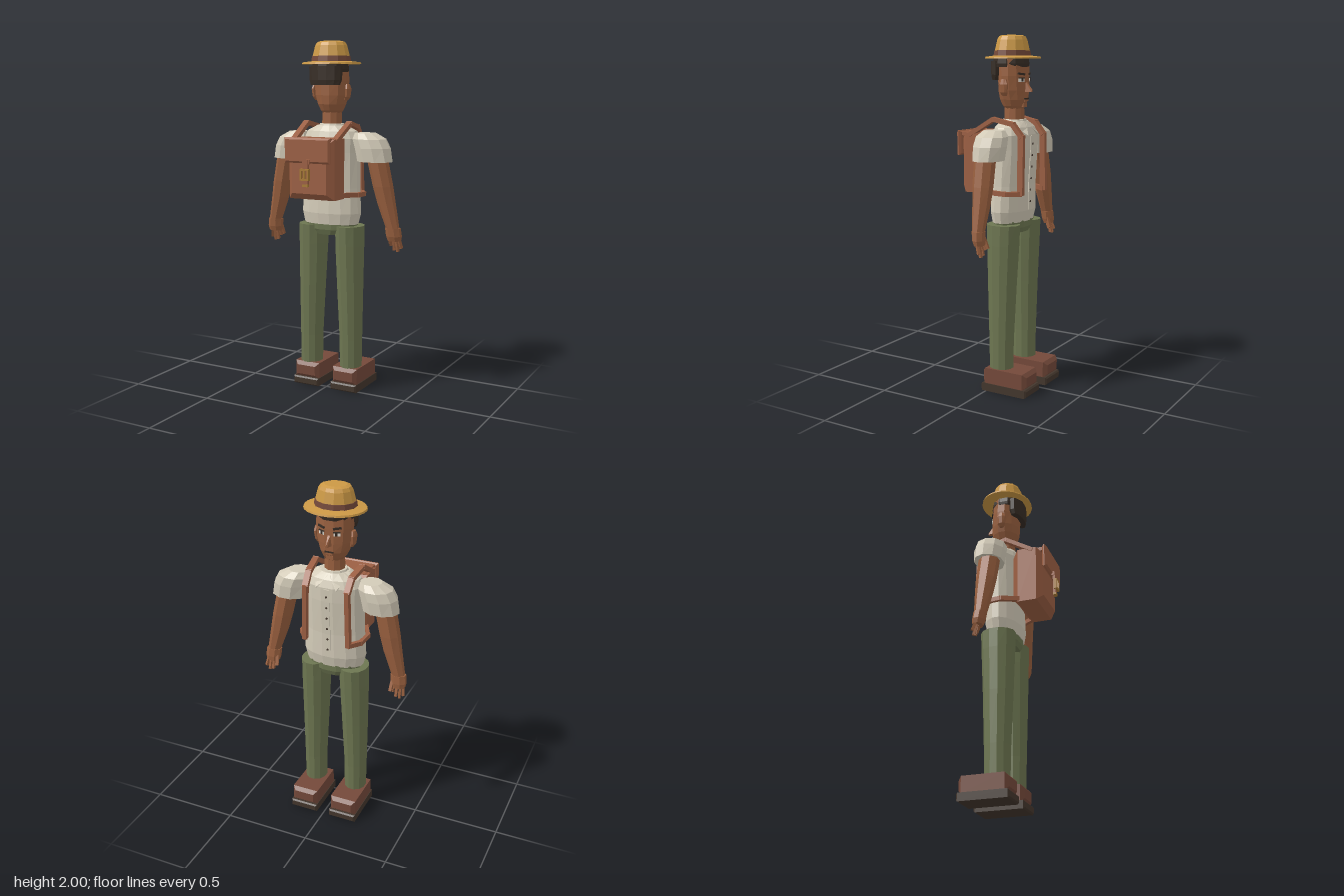
import * as THREE from 'three';
import { ConvexGeometry } from 'three/addons/geometries/ConvexGeometry.js';

const mat = (name, color) => Object.assign(new THREE.MeshStandardMaterial({ color }), { name });
const M = {
  skin: mat('skin', 0x99603f), leather: mat('leather', 0x9c5f43), shoe: mat('shoeLeather', 0x74493a),
  sole: mat('soleRubber', 0x43362c), shirt: mat('shirtCloth', 0xd3cbb8), pants: mat('trouserCloth', 0x6d7651),
  hair: mat('darkHair', 0x372d25), straw: mat('straw', 0xcb9845), brass: mat('brass', 0xa87b35), white: mat('eyeWhite', 0xe8e4da),
};

export function createModel() {
  const model = new THREE.Group();

  // Faceted mesh with one normal per face
  const add = (name, geo, material, parent = model) => {
    const g = geo.index ? geo.toNonIndexed() : geo;
    g.computeVertexNormals();
    const mesh = new THREE.Mesh(g, material);
    mesh.name = name;
    parent.add(mesh);
    return mesh;
  };

  // Stack of elliptical rings [y, cx, cz, rx, rz], capped at both ends
  const loft = (name, material, n, rings) => {
    const pos = [], idx = [], k = 1 / Math.cos(Math.PI / n);
    for (const [y, cx, cz, rx, rz] of rings)
      for (let j = 0; j < n; j++) {
        const a = (j + 0.5) * 2 * Math.PI / n;
        pos.push(cx + rx * k * Math.sin(a), y, cz + rz * k * Math.cos(a));
      }
    const last = (rings.length - 1) * n;
    for (let j = 0; j < n; j++) {
      const m = (j + 1) % n;
      for (let o = 0; o < last; o += n) idx.push(o + j, o + m, o + n + m, o + j, o + n + m, o + n + j);
      if (j > 0 && j < n - 1) idx.push(0, m, j, last, last + j, last + m);
    }
    const g = new THREE.BufferGeometry();
    g.setAttribute('position', new THREE.Float32BufferAttribute(pos, 3));
    g.setIndex(idx);
    return add(name, g, material);
  };

  const box = (name, material, w, h, d, x, y, z, ry = 0, rz = 0) => {
    const m = add(name, new THREE.BoxGeometry(w, h, d), material);
    m.position.set(x, y, z);
    m.rotation.set(0, ry, rz);
    return m;
  };

  // Box with bevelled edges
  const chamferBox = (name, material, w, h, d, b, x, y, z) => {
    const p = w / 2 - b, q = h / 2 - b;
    const s = new THREE.Shape([[-p, -q], [p, -q], [p, q], [-p, q]].map(v => new THREE.Vector2(...v)));
    const g = new THREE.ExtrudeGeometry(s, { depth: d - 2 * b, bevelSize: b, bevelThickness: b, bevelSegments: 1 });
    g.translate(x, y, z - d / 2 + b);
    return add(name, g, material);
  };

  // Flat bars joining a row of points
  const bars = (name, material, w, t, points) => {
    const group = new THREE.Group();
    group.name = name;
    model.add(group);
    for (let i = 1; i < points.length; i++) {
      const a = new THREE.Vector3(...points[i - 1]), b = new THREE.Vector3(...points[i]);
      const m = add(name + 'Segment', new THREE.BoxGeometry(w, t, a.distanceTo(b) + t * 0.6), material, group);
      m.position.copy(a).add(b).multiplyScalar(0.5);
      m.lookAt(b);
    }
  };
  const hull = (name, material, pts) => add(name, new ConvexGeometry(pts.map(p => new THREE.Vector3(...p))), material);

  // Hat
  loft('hatBrim', M.straw, 24, [[1.872, 0, -.058, .171, .148], [1.882, 0, -.058, .168, .145], [1.889, 0, -.056, .11, .096]]);
  loft('hatBand', M.shoe, 12, [[1.884, 0, -.053, .114, .098], [1.917, 0, -.053, .109, .094]]);
  loft('hatCrown', M.straw, 12, [[1.915, 0, -.053, .106, .091], [1.975, 0, -.053, .091, .078], [1.993, 0, -.053, .08, .069], [2, 0, -.053, .06, .051]]);

  // Head, hair and neck
  loft('head', M.skin, 12, [[1.598, 0, -.068, .05, .05], [1.615, 0, -.066, .064, .062], [1.65, 0, -.065, .08, .077],
    [1.7, 0, -.063, .094, .08], [1.78, 0, -.063, .1, .08], [1.87, 0, -.06, .098, .078]]);
  loft('neck', M.skin, 10, [[1.5, 0, -.066, .055, .055], [1.63, 0, -.066, .052, .053]]);
  loft('hairTop', M.hair, 12, [[1.828, 0, -.047, .101, .094], [1.845, 0, -.046, .104, .098], [1.88, 0, -.046, .1, .094]]);
  loft('hairBack', M.hair, 12, [[1.757, 0, .014, .088, .034], [1.785, 0, .01, .097, .042], [1.86, 0, .008, .1, .045]]);

  // Face
  hull('nose', M.skin, [[-.008, 1.75, -.14], [.008, 1.75, -.14], [-.017, 1.69, -.138], [.017, 1.69, -.138],
    [-.008, 1.693, -.178], [.008, 1.693, -.178], [0, 1.705, -.18]]);
  box('mouth', M.hair, .05, .008, .008, 0, 1.655, -.142);
  box('lowerLip', M.skin, .036, .01, .01, 0, 1.645, -.14);
  box('chin', M.skin, .04, .022, .02, 0, 1.62, -.126);

  for (const s of [-1, 1]) {
    const a = -s * 0.43;
    box('eye', M.white, .036, .019, .008, s * .043, 1.757, -.1355, a);
    box('iris', M.hair, .014, .017, .008, s * .041, 1.757, -.1385, a);
    box('upperLid', M.hair, .04, .005, .009, s * .043, 1.768, -.137, a);
    box('eyebrow', M.hair, .046, .011, .009, s * .045, 1.79, -.136, a, s * .12);

    // Ears
    loft('ear', M.skin, 8, [[1.672, s * .094, -.06, .01, .012], [1.69, s * .103, -.058, .013, .022],
      [1.735, s * .108, -.058, .013, .028], [1.762, s * .104, -.058, .01, .016]]);

    // Sleeves
    loft('sleeve', M.shirt, 10, [[1.335, s * .272, -.066, .1, .08], [1.41, s * .258, -.066, .1, .087],
      [1.46, s * .237, -.066, .094, .083], [1.493, s * .212, -.066, .058, .056]]);

    // Arms, hands and fingers
    loft('arm', M.skin, 8, [[.955, s * .386, -.07, .035, .031], [1.1, s * .347, -.066, .048, .045],
      [1.2, s * .325, -.062, .053, .053], [1.37, s * .288, -.056, .055, .056]]);
    loft('hand', M.skin, 8, [[.893, s * .39, -.08, .037, .026], [.92, s * .389, -.076, .043, .032],
      [.967, s * .384, -.071, .042, .033]]);
    for (let i = 0; i < 4; i++) {
      const x = .366 + i * .017, tip = [.868, .842, .835, .855][i];
      bars('finger', M.skin, .014, .016, [[s * x, .9, -.083], [s * (x + (i - 1) * .004), tip, -.097]]);
    }
    bars('thumb', M.skin, .018, .016, [[s * .358, .925, -.09], [s * .354, .875, -.108]]);

    // Trouser legs
    loft('trouserLeg', M.pants, 12, [[.115, s * .129, -.06, .062, .068], [.3, s * .129, -.06, .064, .071],
      [.6, s * .123, -.061, .073, .082], [.85, s * .118, -.064, .08, .092], [.963, s * .117, -.065, .08, .096]]);

    // Shoes
    chamferBox('shoeSole', M.sole, .165, .046, .292, .008, s * .1235, .023, -.114);
    chamferBox('shoeUpper', M.shoe, .157, .094, .28, .02, s * .1235, .088, -.114);
    loft('shoeCollar', M.shoe, 8, [[.1, s * .128, -.06, .071, .075], [.125, s * .128, -.06, .067, .072]]);

    // Shirt collar points
    hull('collarFlap', M.shirt, [[s * .008, 1.53, -.138], [s * .095, 1.535, -.085], [s * .06, 1.458, -.19],
      [s * .008, 1.518, -.15], [s * .098, 1.522, -.1], [s * .06, 1.455, -.178]]);

    // Pack straps
    bars('shoulderStrap', M.leather, .034, .024, [[s * .13, 1.455, .14], [s * .137, 1.545, -.015], [s * .125, 1.52, -.13],
      [s * .122, 1.455, -.182], [s * .13, 1.142, -.182]]);
    bars('lowerStrap', M.leather, .022, .026, [[s * .13, 1.142, -.182], [s * .178, 1.142, -.12], [s * .183, 1.145, -.03], [s * .135, 1.15, .06]]);
  }

  // Shirt body, placket and buttons
  loft('shirtBody', M.shirt, 16, [[.972, 0, -.06, .165, .09], [1.035, 0, -.062, .18, .102], [1.18, 0, -.065, .172, .1],
    [1.38, 0, -.072, .168, .106], [1.46, 0, -.072, .172, .106], [1.5, 0, -.07, .15, .092], [1.532, 0, -.067, .085, .07]]);
  loft('neckBand', M.shirt, 12, [[1.51, 0, -.067, .085, .075], [1.542, 0, -.067, .068, .064]]);
  bars('placket', M.shirt, .032, .008, [[0, 1.45, -.179], [0, 1.38, -.178], [0, 1.18, -.166], [0, 1.04, -.164]]);
  for (let i = 0; i < 6; i++) {
    const y = 1.085 + i * .065;
    const b = add('button', new THREE.CylinderGeometry(.006, .006, .008, 8), M.sole);
    b.rotation.x = Math.PI / 2;
    b.position.set(0, y, -.169 - Math.max(0, y - 1.15) * .055);
  }

  // Hips
  loft('hips', M.pants, 12, [[.91, 0, -.063, .11, .075], [.94, 0, -.063, .15, .087], [.98, 0, -.062, .16, .088]]);

  // Backpack with flap and buckle
  chamferBox('packBody', M.leather, .285, .335, .18, .034, 0, 1.298, .112);
  chamferBox('packFlap', M.leather, .285, .14, .028, .011, 0, 1.405, .216);
  box('packLid', M.leather, .25, .022, .15, 0, 1.458, .13);
  box('buckleStrap', M.leather, .032, .145, .014, 0, 1.285, .236);
  box('flapTab', M.leather, .044, .025, .018, 0, 1.345, .23);
  for (const s of [-1, 1]) {
    box('buckleSide', M.brass, .01, .06, .018, s * .022, 1.275, .246);
    box('buckleBar', M.brass, .054, .01, .018, 0, 1.275 + s * .027, .246);
  }
  box('bucklePin', M.brass, .008, .055, .012, 0, 1.275, .252);
  box('strapTip', M.brass, .034, .014, .018, 0, 1.215, .238);

  return model;
}
